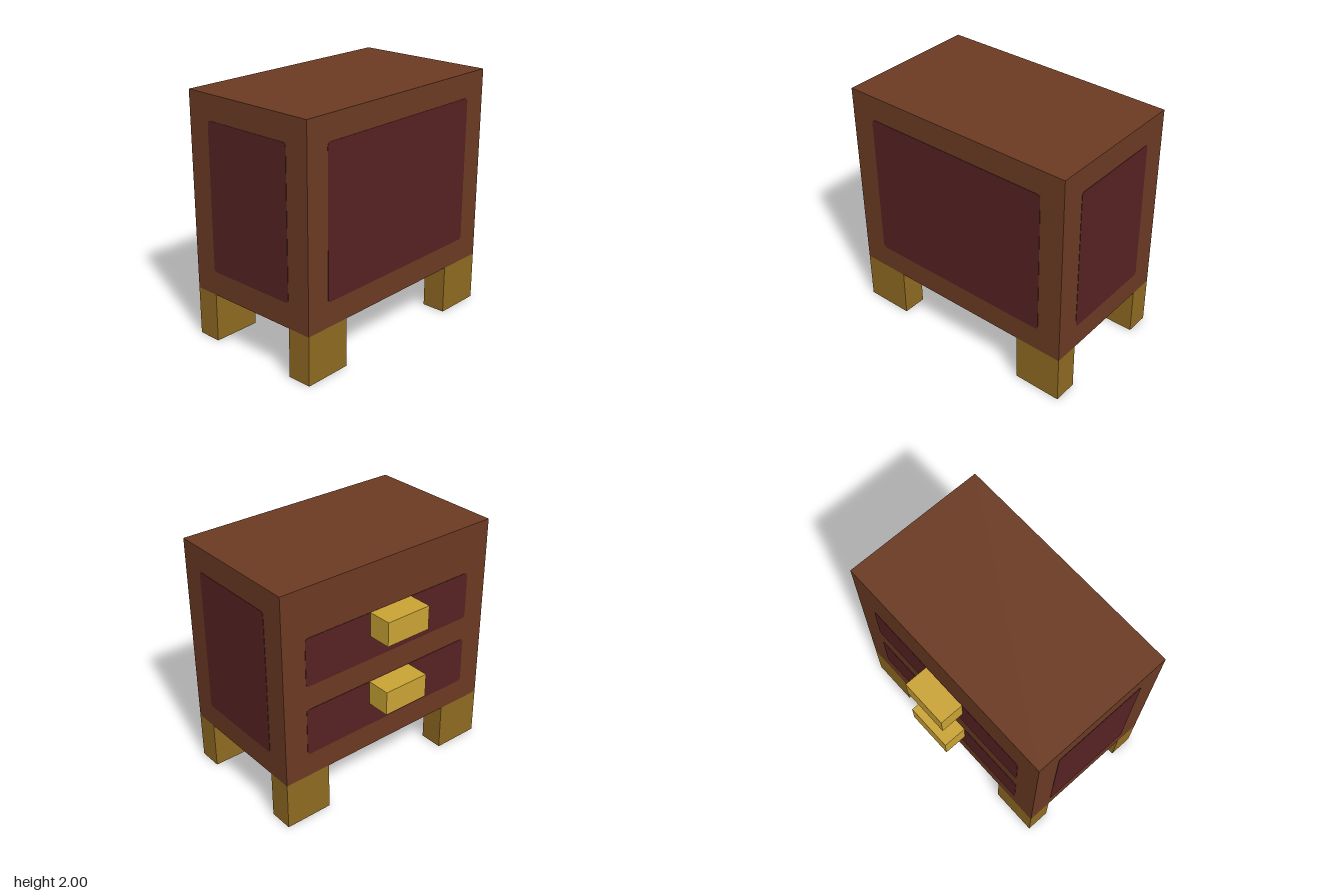
import * as THREE from 'three';

const material = (name, color) => {
  const m = new THREE.MeshStandardMaterial({ color });
  m.name = name;
  return m;
};

export function createModel() {
  const group = new THREE.Group();
  const wood = material('brown wood', 0x6b3a23);
  const inset = material('dark red panel', 0x562222);
  const legWood = material('ochre leg', 0x8f6a22);
  const brass = material('gold handle', 0xc9a335);

  const addBox = (name, mat, size, pos) => {
    const mesh = new THREE.Mesh(new THREE.BoxGeometry(...size), mat);
    mesh.name = name;
    mesh.position.set(...pos);
    group.add(mesh);
  };

  // Thin plate with rounded corners, facing +z before it is turned
  const addPanel = (name, w, h, pos, turn) => {
    const x = w / 2, y = h / 2, r = 0.03;
    const s = new THREE.Shape();
    s.moveTo(-x + r, -y);
    s.lineTo(x - r, -y);
    s.quadraticCurveTo(x, -y, x, -y + r);
    s.lineTo(x, y - r);
    s.quadraticCurveTo(x, y, x - r, y);
    s.lineTo(-x + r, y);
    s.quadraticCurveTo(-x, y, -x, y - r);
    s.lineTo(-x, -y + r);
    s.quadraticCurveTo(-x, -y, -x + r, -y);
    const geo = new THREE.ExtrudeGeometry(s, { depth: 0.003, bevelEnabled: false, curveSegments: 6 });
    const mesh = new THREE.Mesh(geo, inset);
    mesh.name = name;
    mesh.position.set(...pos);
    mesh.rotation.y = turn;
    group.add(mesh);
  };

  // Cabinet body
  addBox('cabinetBody', wood, [1.2, 1.6, 2], [0.1, 1.2, 0]);

  // Four block legs flush with the body corners
  for (const x of [-0.4, 0.6])
    for (const z of [-0.8, 0.8])
      addBox('leg', legWood, [0.2, 0.4, 0.4], [x, 0.2, z]);

  // Panels on the two ends and the plain long side
  addPanel('frontPanel', 0.8, 1.2, [0.1, 1.2, 1], 0);
  addPanel('backPanel', 0.8, 1.2, [0.1, 1.2, -1], Math.PI);
  addPanel('leftPanel', 1.6, 1.2, [0.7, 1.2, 0], Math.PI / 2);

  // Two drawers, each with a block handle
  for (const y of [0.8, 1.4]) {
    addPanel('drawerFront', 1.6, 0.4, [-0.5, y, 0], -Math.PI / 2);
    addBox('drawerHandle', brass, [0.2, 0.2, 0.4], [-0.6, y + 0.1, 0]);
  }
  return group;
}
